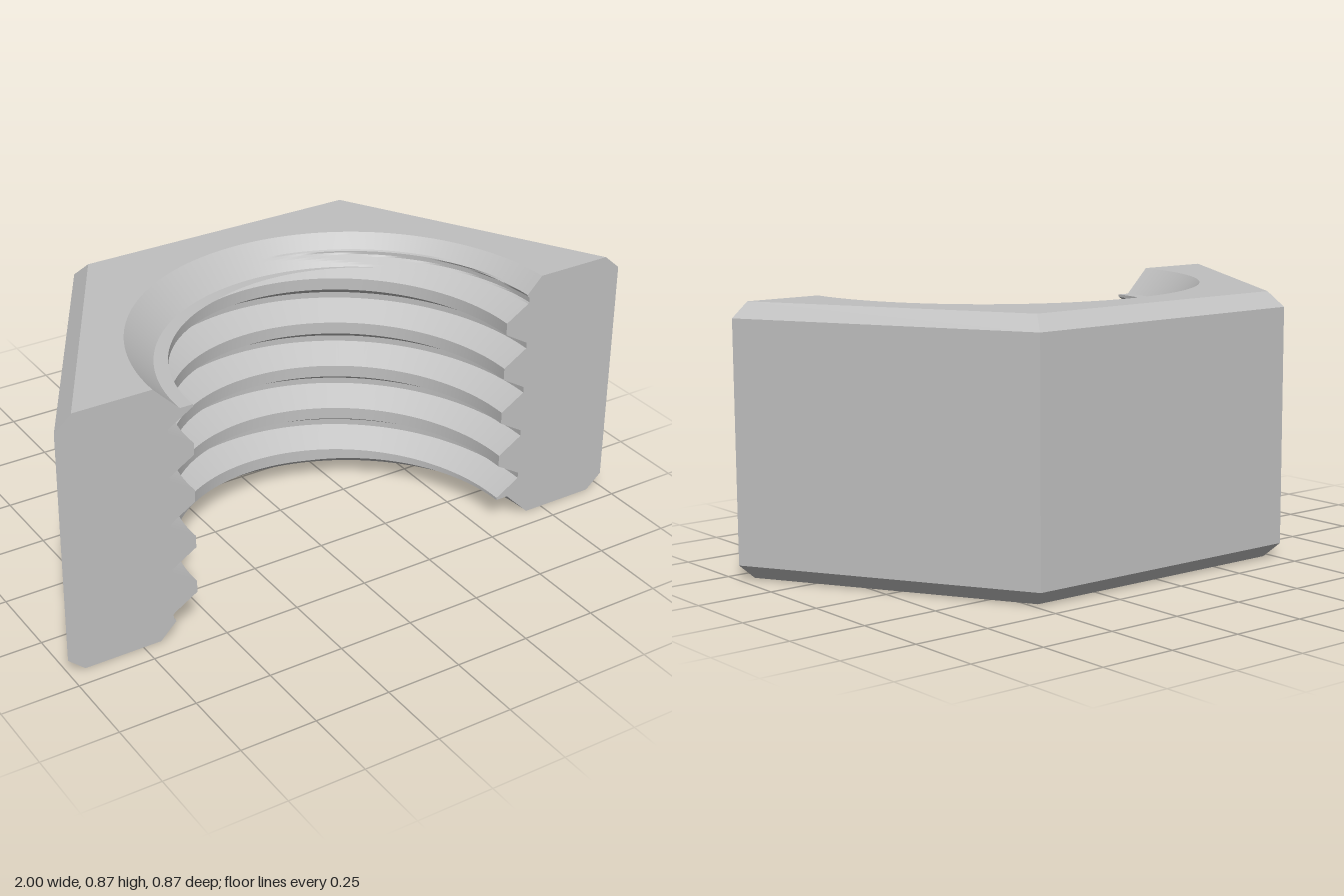
import * as THREE from 'three';

const H = 0.866, AXIS_Z = 0.433, BEVEL = 0.048, TOP_R = 0.945; // half hex body
const PITCH = 0.16, CREST = 0.562, ROOT = 0.645;               // thread
const SINK_R = 0.69, SINK_D = 0.085, SEGS = 96;                // countersinks
const clamp = THREE.MathUtils.clamp;

// Height of one thread root at an angle around the bore
const rootHeight = (a) => 0.633 + PITCH * a / (2 * Math.PI);

// Bore radius of the helical thread
function threadRadius(a, y) {
  let t = (y - rootHeight(a)) / PITCH;
  t = Math.abs(t - Math.round(t));
  return THREE.MathUtils.mapLinear(clamp(t, 1 / 16, 3 / 8), 1 / 16, 3 / 8, ROOT, CREST);
}

// Bore section [radius, y] from bottom to top at an angle
function boreProfile(a) {
  const pts = [], n = 16;
  const sink = (d, y) => pts.push([Math.max(SINK_R - d, threadRadius(a, y)), y]);
  for (let i = 0; i <= n; i++) sink(SINK_D * i / n, SINK_D * i / n);
  const add = (s) => {
    const y = clamp(s, SINK_D, H - SINK_D);
    pts.push([threadRadius(a, y), y]);
  };
  add(0);
  for (let k = -6; k <= 3; k++) {
    for (const f of [-3 / 8, -1 / 16, 1 / 16, 3 / 8]) add(rootHeight(a) + (k + f) * PITCH);
  }
  add(H);
  for (let i = n; i >= 0; i--) sink(SINK_D * i / n, H - SINK_D * i / n);
  return pts;
}

// Surface through sections at given angles: creased between rows, smooth or flat around
function sweep(angles, profile, inward, flat) {
  const cols = angles.map((a) => profile(a).map(([r, y]) =>
    [r * Math.cos(a), y, AXIS_Z - r * Math.sin(a)]));
  const pos = [], index = [];
  for (let j = 0; j < cols[0].length - 1; j++) {
    const base = pos.length / 3;
    cols.forEach((c) => pos.push(...c[j], ...c[j + 1]));
    for (let i = 0; i < cols.length - 1; i++) {
      const a = base + i * 2, b = a + 2;
      if (inward) index.push(a, a + 1, b, b, a + 1, b + 1);
      else index.push(a, b, a + 1, b, b + 1, a + 1);
    }
  }
  let g = new THREE.BufferGeometry();
  g.setAttribute('position', new THREE.Float32BufferAttribute(pos, 3));
  g.setIndex(index);
  if (flat) g = g.toNonIndexed();
  g.computeVertexNormals();
  return g;
}

export function createModel() {
  const group = new THREE.Group();
  const steel = new THREE.MeshStandardMaterial({ color: 0xc0c0c0 });
  steel.name = 'steel grey';
  const add = (name, geometry) => {
    const mesh = new THREE.Mesh(geometry, steel);
    mesh.name = name;
    group.add(mesh);
    return mesh;
  };
  const outer = [[TOP_R, 0], [1, BEVEL], [1, H - BEVEL], [TOP_R, H]];
  const hexAngles = [0, 1, 2, 3].map((i) => i * Math.PI / 3);
  const arcAngles = Array.from({ length: SEGS + 1 }, (_, i) => i * Math.PI / SEGS);

  // Three outer flats with bevelled rims
  add('hexBody', sweep(hexAngles, () => outer, false, true));

  // Threaded bore with a countersink at each end
  add('threadedBore', sweep(arcAngles, boreProfile, true, false));

  // Flat top and bottom faces around the bore
  const polar = (r) => (a) => new THREE.Vector2(r * Math.cos(a), r * Math.sin(a));
  const capShape = new THREE.Shape([
    ...hexAngles.map(polar(TOP_R)),
    ...arcAngles.map(polar(SINK_R)).reverse(),
  ]);
  const cap = () => new THREE.ShapeGeometry(capShape).rotateX(-Math.PI / 2);
  add('topFace', cap()).position.set(0, H, AXIS_Z);
  add('bottomFace', cap().rotateZ(Math.PI)).position.set(0, 0, AXIS_Z);

  // Section faces on the front, showing the thread teeth
  for (const [name, angle, side] of [['leftCutFace', 0, 1], ['rightCutFace', Math.PI, -1]]) {
    const loop = [...outer, ...boreProfile(angle).reverse()]
      .filter((p, i, l) => i === 0 || Math.hypot(p[0] - l[i - 1][0], p[1] - l[i - 1][1]) > 1e-5)
      .map(([r, y]) => new THREE.Vector2(side * r, y));
    add(name, new THREE.ShapeGeometry(new THREE.Shape(loop))).position.z = AXIS_Z;
  }
  return group;
}
